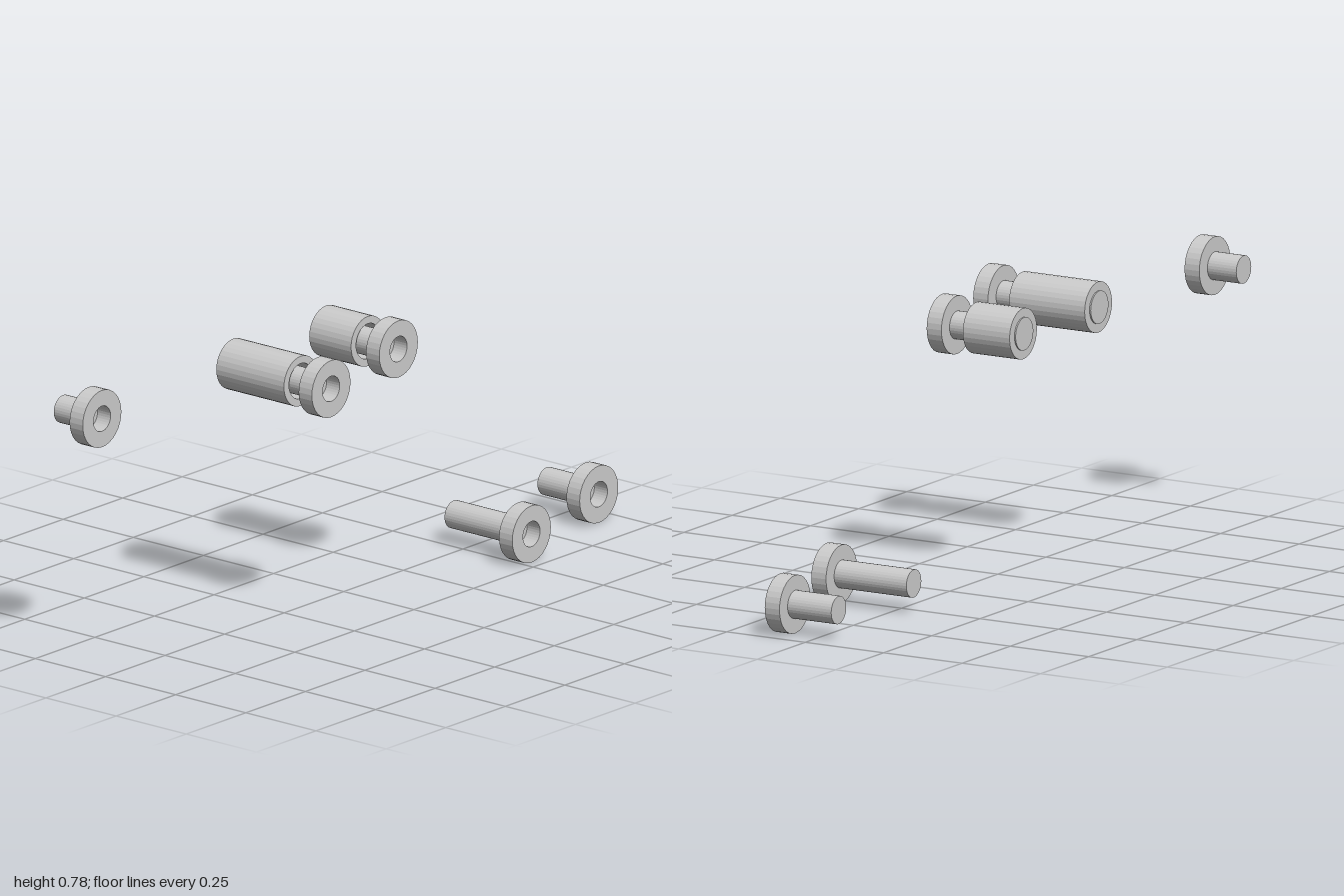
import * as THREE from 'three';

const SIDES = 32;
const material = new THREE.MeshStandardMaterial({ color: 0xcccccc, flatShading: true });

// Turned part lying along x; profile is a list of [x, radius], outside first
function turned(name, profile) {
  const points = profile.map(([x, r]) => new THREE.Vector2(r, x));
  const geometry = new THREE.LatheGeometry(points, SIDES);
  geometry.rotateZ(-Math.PI / 2);
  const mesh = new THREE.Mesh(geometry, material);
  mesh.name = name;
  return mesh;
}

// Solid shank, wide disc head and a round socket in the +x face of the head
function bolt(name, shankStart, headStart) {
  const headEnd = headStart + 0.047;
  return turned(name, [
    [shankStart, 0], [shankStart, 0.039], [headStart, 0.039],
    [headStart, 0.081], [headEnd, 0.081],
    [headEnd, 0.036], [headStart, 0.036], [headStart, 0],
  ]);
}

// Barrel bored from +x, with a low round boss on its closed -x end
function sleeve(name, start, end) {
  return turned(name, [
    [start - 0.004, 0], [start - 0.004, 0.046], [start, 0.046],
    [start, 0.071], [end, 0.071],
    [end, 0.05], [start + 0.01, 0.05], [start + 0.01, 0],
  ]);
}

export function createModel() {
  const model = new THREE.Group();
  model.name = 'fastenerSet';

  const place = (name, y, z, ...parts) => {
    const group = new THREE.Group();
    group.name = name;
    group.add(...parts);
    group.position.set(0, y, z);
    model.add(group);
  };

  const upper = 0.699, lower = 0.081;

  // Upper row: short screw and two posts inside sleeves
  place('shortScrew', upper, 0.919, bolt('shortBolt', -0.22, -0.128));
  place('longSleevedPost', upper, 0.312,
    bolt('longBolt', -0.057, 0.173), sleeve('longSleeve', -0.129, 0.112));
  place('mediumSleevedPost', upper, -0.078,
    bolt('mediumBolt', -0.057, 0.082), sleeve('mediumSleeve', -0.129, 0.02));

  // Lower row: the same two posts without sleeves
  place('longPost', lower, -0.529, bolt('longBolt', -0.057, 0.173));
  place('mediumPost', lower, -0.919, bolt('mediumBolt', -0.057, 0.082));

  return model;
}
